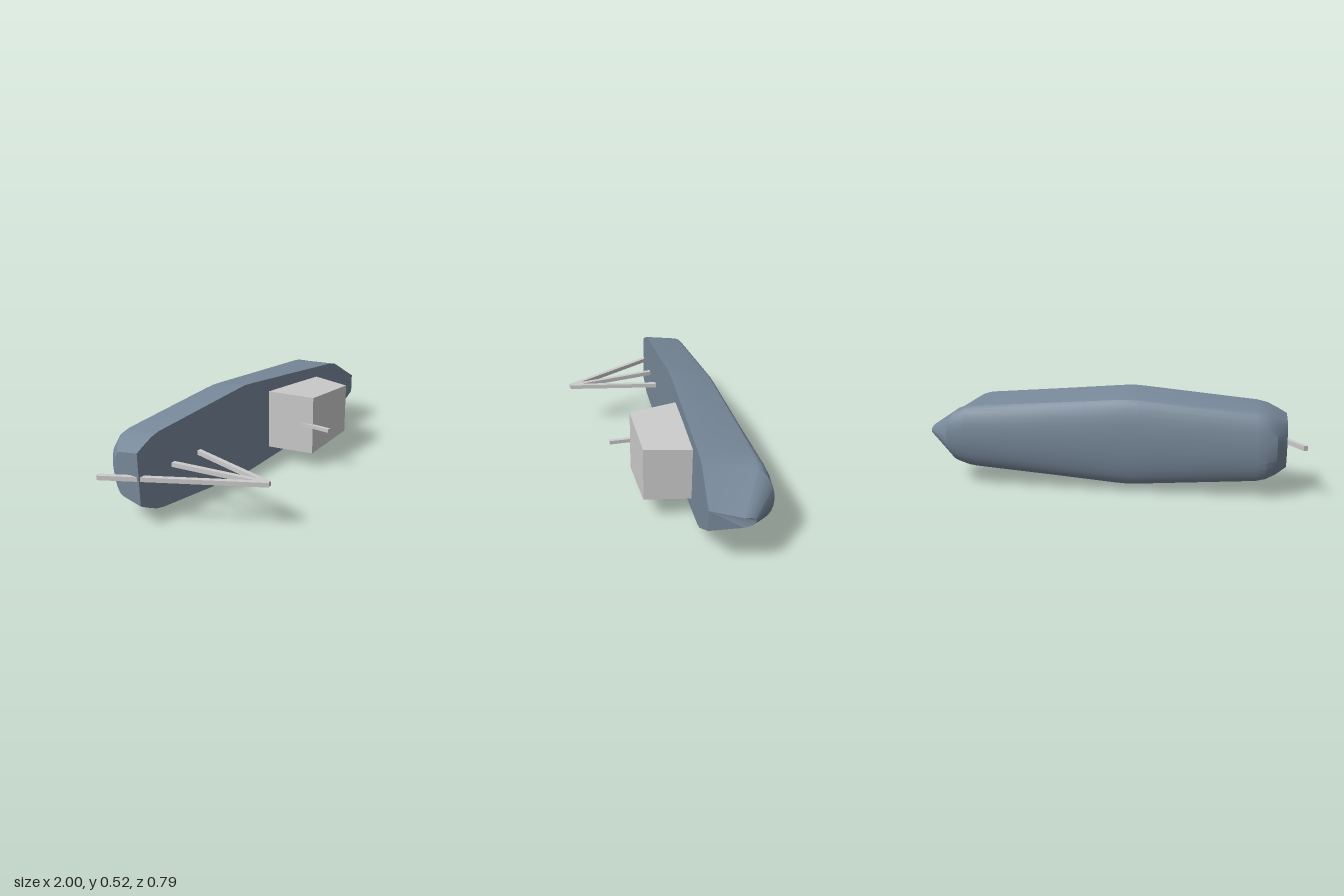
import * as THREE from 'three';
import { toCreasedNormals } from 'three/addons/utils/BufferGeometryUtils.js';

const MID = 0.2635; // height of the centreline; the boat lies on its side, deck facing +z

const hullMaterial = new THREE.MeshStandardMaterial({ color: 0x778899 });
const grey = new THREE.MeshStandardMaterial({ color: 0xcccccc });

// Stations from stern to bow: deck edge, chine (x, z, half-width each) and keel (x, z)
const stations = [
  { deck: [-0.9, -0.145, 0.14], chine: [-0.9, -0.255, 0.12], keel: [-0.9, -0.31] },
  { deck: [-0.85, -0.143, 0.168], chine: [-0.85, -0.305, 0.144], keel: [-0.85, -0.373] },
  { deck: [-0.8, -0.141, 0.193], chine: [-0.8, -0.33, 0.166], keel: [-0.8, -0.395] },
  { deck: [-0.75, -0.14, 0.205], chine: [-0.75, -0.332, 0.178], keel: [-0.75, -0.395] },
  { deck: [-0.16, -0.117, 0.258], chine: [-0.16, -0.33, 0.222], keel: [-0.16, -0.395] },
  { deck: [-0.1, -0.115, 0.262], chine: [-0.1, -0.33, 0.225], keel: [-0.1, -0.395] },
  { deck: [-0.04, -0.112, 0.258], chine: [-0.04, -0.33, 0.222], keel: [-0.04, -0.395] },
  { deck: [0.32, -0.09, 0.226], chine: [0.32, -0.326, 0.195], keel: [0.34, -0.395] },
  { deck: [0.68, -0.064, 0.195], chine: [0.69, -0.32, 0.168], keel: [0.76, -0.395] },
  { deck: [0.72, -0.061, 0.19], chine: [0.74, -0.315, 0.163], keel: [0.81, -0.395] },
  { deck: [0.76, -0.058, 0.178], chine: [0.79, -0.3, 0.15], keel: [0.86, -0.388] },
  { deck: [0.95, -0.038, 0.055], chine: [1, -0.19, 0.026], keel: [1, -0.25] },
];

// One ring: deck edge, chine, elliptical bilge round the keel, and back up the other side
function ring({ deck, chine, keel }) {
  const steps = 14;
  const points = [[deck[0], MID + deck[2], deck[1]]];
  for (let k = 0; k <= steps; k++) {
    const t = (k / steps) * Math.PI;
    const s = Math.sin(t);
    points.push([
      THREE.MathUtils.lerp(chine[0], keel[0], s),
      MID + chine[2] * Math.cos(t),
      THREE.MathUtils.lerp(chine[1], keel[1], s),
    ]);
  }
  points.push([deck[0], MID - deck[2], deck[1]]);
  return points;
}

// Closed loft through the stations; the closing strip of each ring forms the deck
function hullGeometry() {
  const rings = stations.map(ring);
  const n = rings[0].length;
  const last = rings.length - 1;
  const index = [];
  for (let i = 0; i < last; i++) {
    for (let j = 0; j < n; j++) {
      const k = (j + 1) % n;
      const a = i * n + j, b = (i + 1) * n + j, c = i * n + k, d = (i + 1) * n + k;
      index.push(a, b, c, b, d, c);
    }
  }
  for (let j = 1; j < n - 1; j++) {
    index.push(0, j, j + 1); // transom
    index.push(last * n, last * n + j + 1, last * n + j); // bow face
  }
  const geometry = new THREE.BufferGeometry();
  geometry.setAttribute('position', new THREE.Float32BufferAttribute(rings.flat(2), 3));
  geometry.setIndex(index);
  return toCreasedNormals(geometry, 0.45);
}

// Box whose walls lean in from the deck and whose forward end is narrower
function cabinGeometry() {
  const geometry = new THREE.BoxGeometry(1, 1, 1);
  const p = geometry.attributes.position;
  for (let i = 0; i < p.count; i++) {
    const fore = p.getX(i) > 0, roof = p.getZ(i) > 0;
    const x = fore ? (roof ? 0.515 : 0.573) : (roof ? 0.16 : 0.1);
    const half = fore ? (roof ? 0.145 : 0.142) : (roof ? 0.168 : 0.171);
    const z = roof ? (fore ? 0.165 : 0.16) : -0.12;
    p.setXYZ(i, x, MID + Math.sign(p.getY(i)) * half, z);
  }
  geometry.computeVertexNormals();
  return geometry;
}

// Square bar between two (x, z) points on the centreline
function bar(name, from, to, width = 0.024) {
  const dx = to[0] - from[0], dz = to[1] - from[1];
  const mesh = new THREE.Mesh(new THREE.BoxGeometry(width, width, Math.hypot(dx, dz)), grey);
  mesh.name = name;
  mesh.position.set((from[0] + to[0]) / 2, MID + 0.001, (from[1] + to[1]) / 2);
  mesh.rotation.y = Math.atan2(dx, dz);
  return mesh;
}

export function createModel() {
  const model = new THREE.Group();
  model.name = 'boat';

  const hull = new THREE.Mesh(hullGeometry(), hullMaterial);
  hull.name = 'hull';
  const cabin = new THREE.Mesh(cabinGeometry(), grey);
  cabin.name = 'cabin';
  model.add(hull, cabin, bar('mast', [0.155, -0.11], [0.155, 0.27], 0.02));

  // Stern frame: three bars meeting at one apex
  const frame = new THREE.Group();
  frame.name = 'sternFrame';
  const apex = [-0.575, 0.385];
  frame.add(
    bar('backstay', [-0.988, -0.335], apex),
    bar('aftLeg', [-0.672, -0.16], apex),
    bar('foreLeg', [-0.476, -0.16], apex),
  );
  model.add(frame);
  return model;
}
